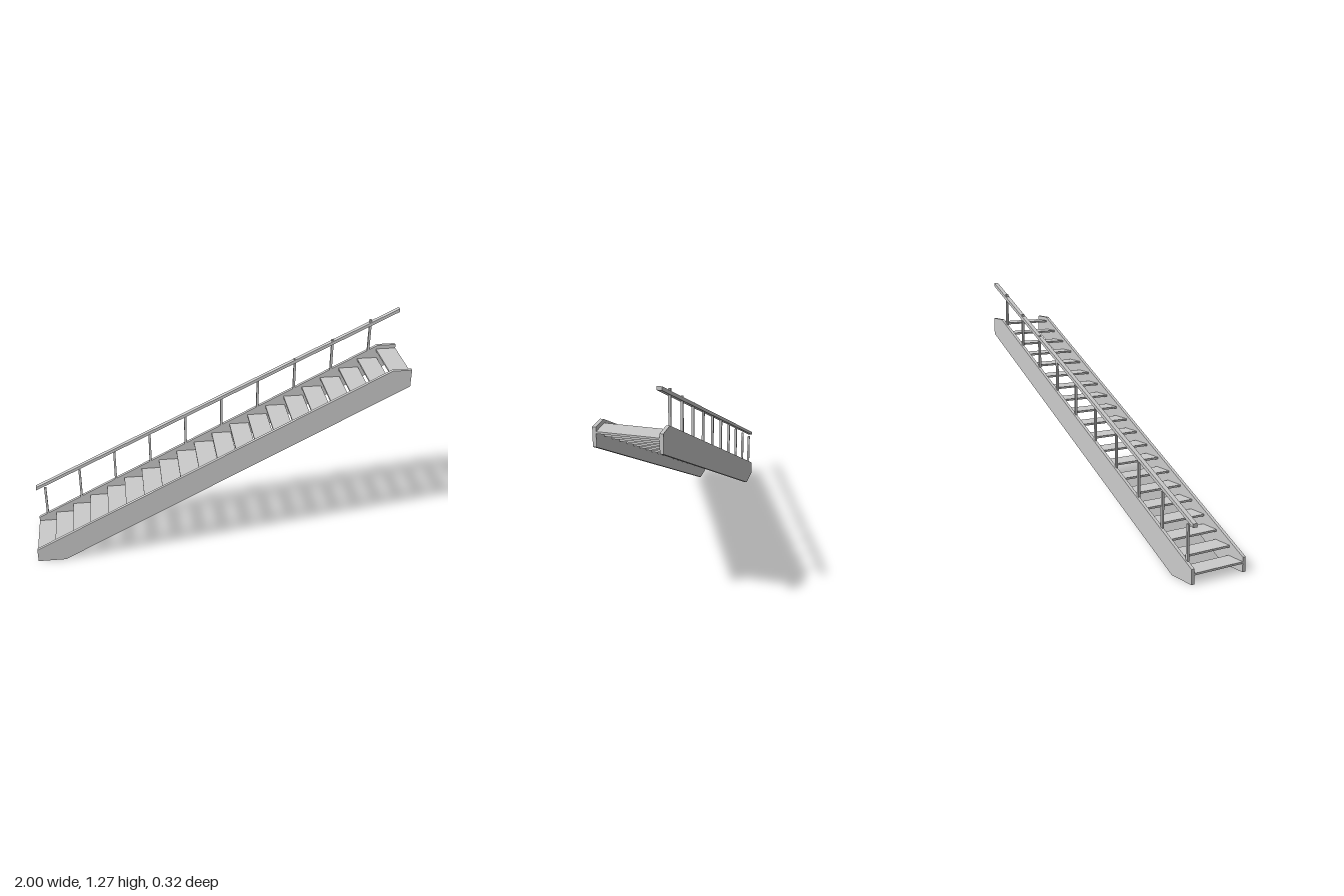
import * as THREE from 'three';

export function createModel() {
  const group = new THREE.Group();
  group.name = 'staircase';
  const material = new THREE.MeshStandardMaterial({ color: 0xcccccc, flatShading: true });

  const add = (name, geometry, x = 0, y = 0, z = 0) => {
    const mesh = new THREE.Mesh(geometry, material);
    mesh.name = name;
    mesh.position.set(x, y, z);
    group.add(mesh);
  };

  // Side profile in x/y, extruded across z
  const plate = (points, depth) => new THREE.ExtrudeGeometry(
    new THREE.Shape(points.map(([x, y]) => new THREE.Vector2(x, y))),
    { depth, bevelEnabled: false }
  ).translate(0, 0, -depth / 2);

  // Stringers on both sides, clipped level at foot and head
  const stringerWidth = 0.017;
  const stringer = plate([
    [-1, 0], [-0.85, 0], [1, 0.965], [1, 1.06], [0.9, 1.06], [-1, 0.075],
  ], stringerWidth);
  add('leftStringer', stringer, 0, 0, 0.1525);
  add('rightStringer', stringer, 0, 0, -0.1525);

  // Open treads
  const treadCount = 20, treadDepth = 0.107;
  const tread = new THREE.BoxGeometry(treadDepth, 0.01, 0.29);
  for (let i = 0; i < treadCount; i++) {
    const t = i / (treadCount - 1);
    add(`tread${i + 1}`, tread,
      THREE.MathUtils.lerp(-1, 1 - treadDepth, t) + treadDepth / 2,
      THREE.MathUtils.lerp(0.048, 1.034, t));
  }

  // Balusters standing on the back stringer
  const railZ = -0.147;
  const baluster = new THREE.BoxGeometry(0.012, 0.182, 0.012);
  for (let i = 0; i < 10; i++) {
    add(`baluster${i + 1}`, baluster, -0.95 + i * 0.2, 0.186 + i * 0.104, railZ);
  }

  // Sloping handrail with plumb-cut ends
  add('handrail', plate([
    [-1, 0.271], [1, 1.255], [1, 1.274], [-1, 0.29],
  ], 0.024), 0, 0, railZ + 0.002);

  return group;
}
